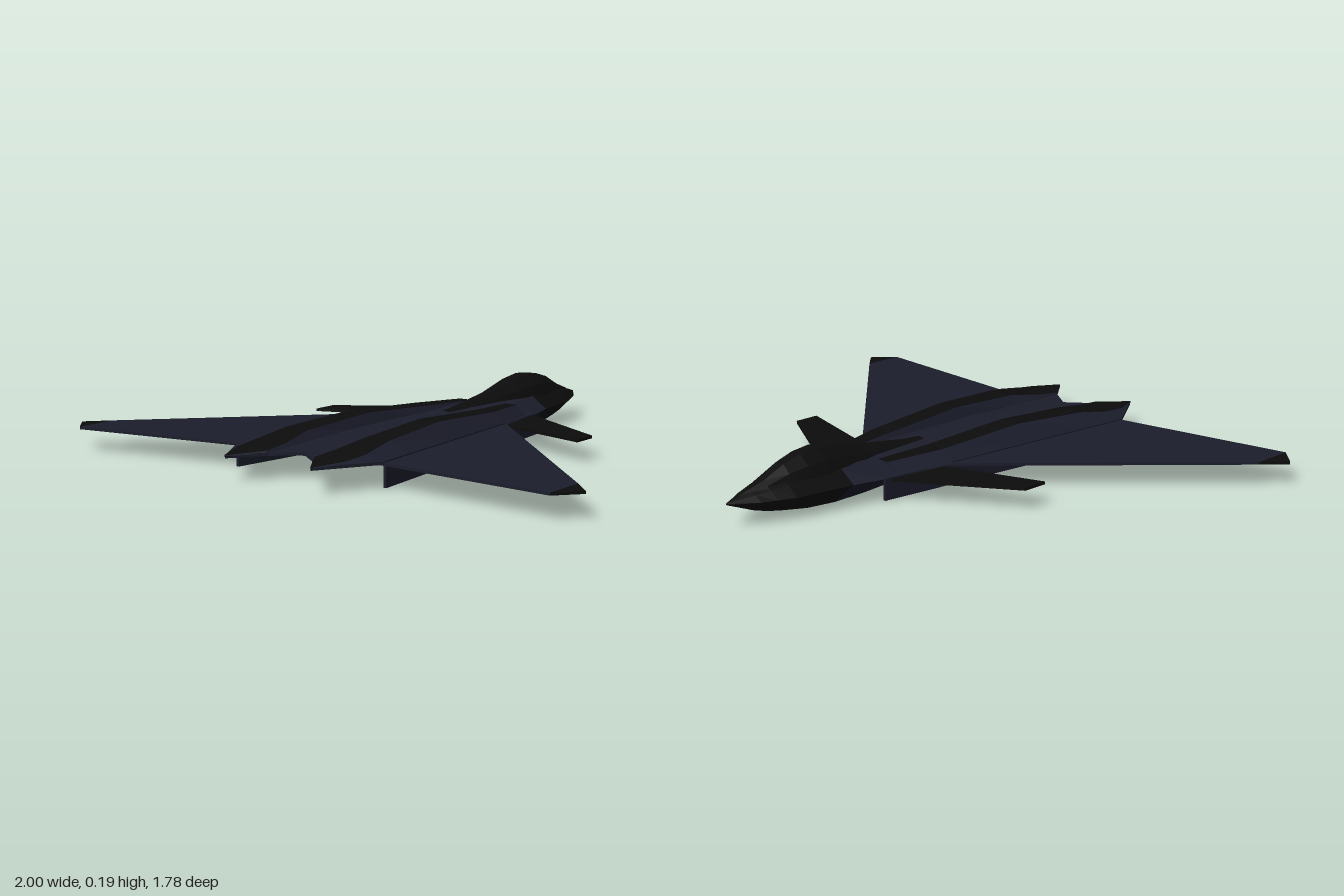
import * as THREE from 'three';

const navy = new THREE.MeshStandardMaterial({ color: 0x1b1d2b, flatShading: true });
const black = new THREE.MeshStandardMaterial({ color: 0x0c0c0c, flatShading: true });

// Skin between rings of [x, y], each anticlockwise seen from +z, with z increasing
function loft(stations) {
  const pos = [];
  const tri = (...p) => p.forEach((v) => pos.push(...v));
  const rings = stations.map(({ z, ring }) => ring.map(([x, y]) => [x, y, z]));
  const n = rings[0].length;
  for (let i = 0; i < rings.length - 1; i++) {
    for (let k = 0; k < n; k++) {
      const a = rings[i][k], b = rings[i][(k + 1) % n];
      const c = rings[i + 1][(k + 1) % n], d = rings[i + 1][k];
      tri(a, b, c);
      tri(a, c, d);
    }
  }
  const first = rings[0], last = rings[rings.length - 1];
  for (let k = 1; k < n - 1; k++) {
    tri(first[0], first[k + 1], first[k]);
    tri(last[0], last[k], last[k + 1]);
  }
  const g = new THREE.BufferGeometry();
  g.setAttribute('position', new THREE.Float32BufferAttribute(pos, 3));
  g.computeVertexNormals();
  return g;
}

// Right half ring completed by its mirror image
const mirrored = (half) => [...half, ...half.map(([x, y]) => [-x, y]).reverse()];

// Horizontal plate from an [x, z] outline
function plate(points, top, thickness) {
  const shape = new THREE.Shape(points.map(([x, z]) => new THREE.Vector2(x, z)));
  const g = new THREE.ExtrudeGeometry(shape, { depth: thickness, bevelEnabled: false });
  return g.rotateX(Math.PI / 2).translate(0, top, 0);
}

export function createModel() {
  const model = new THREE.Group();
  const add = (name, geometry, material) => {
    const mesh = new THREE.Mesh(geometry, material);
    mesh.name = name;
    model.add(mesh);
  };

  // Fuselage: z, belly half width, belly y, chine x, shoulder x, shoulder y, top y
  const hull = [
    [-0.89, 0.002, 0.078, 0.003, 0.002, 0.081, 0.082],
    [-0.8, 0.02, 0.043, 0.06, 0.035, 0.095, 0.105],
    [-0.75, 0.03, 0.03, 0.08, 0.05, 0.102, 0.118],
    [-0.69, 0.04, 0.021, 0.103, 0.065, 0.108, 0.13],
    [-0.6, 0.05, 0.009, 0.118, 0.075, 0.112, 0.14],
    [-0.48, 0.05, 0, 0.138, 0.085, 0.115, 0.14],
    [-0.35, 0.055, 0.004, 0.17, 0.09, 0.11, 0.125],
    [-0.1, 0.06, 0.02, 0.21, 0.1, 0.1, 0.113],
    [0.3, 0.06, 0.046, 0.25, 0.11, 0.098, 0.106],
    [0.7, 0.05, 0.072, 0.288, 0.11, 0.086, 0.088],
  ];
  const hullStations = hull.map(([z, bw, b, w, sx, sy, t]) => ({
    z, ring: mirrored([[bw, b], [w, 0.077], [sx, sy], [sx * 0.35, t]]),
  }));
  add('noseFuselage', loft(hullStations.slice(0, 6)), black);
  add('mainFuselage', loft(hullStations.slice(5)), navy);

  // Canopy and spine: z, half width, base y, top y
  const canopy = [
    [-0.84, 0.008, 0.085, 0.097],
    [-0.75, 0.045, 0.1, 0.126],
    [-0.67, 0.062, 0.106, 0.163],
    [-0.6, 0.076, 0.11, 0.182],
    [-0.53, 0.084, 0.11, 0.188],
    [-0.44, 0.08, 0.11, 0.177],
    [-0.3, 0.06, 0.106, 0.145],
    [-0.1, 0.04, 0.1, 0.119],
    [-0.04, 0.035, 0.1, 0.116],
    [0.3, 0.034, 0.09, 0.108],
  ].map(([z, w, b, t]) => ({
    z, ring: mirrored([[w, b], [w * 0.75, b + (t - b) * 0.55], [w * 0.28, t]]),
  }));
  add('canopy', loft(canopy.slice(0, 9)), black);
  add('spinePanel', loft(canopy.slice(8)), navy);

  // Tail deck with its twin points
  const deck = [[0.21, -0.1], [0.29, 0.69], [0.17, 0.89], [0.09, 0.78]];
  const deckMirror = deck.map(([x, z]) => [-x, z]).reverse();
  add('tailDeck', plate([...deck, [0, 0.71], ...deckMirror], 0.086, 0.01), navy);

  // Engine humps: z, inner foot, inner top, outer top, outer foot, top y
  const humps = [
    [-0.31, 0.06, 0.075, 0.12, 0.16, 0.112],
    [-0.1, 0.07, 0.095, 0.165, 0.21, 0.12],
    [0.25, 0.08, 0.108, 0.185, 0.245, 0.138],
    [0.55, 0.085, 0.118, 0.21, 0.275, 0.122],
    [0.69, 0.085, 0.1, 0.222, 0.288, 0.1],
    [0.78, 0.09, 0.095, 0.215, 0.235, 0.092],
    [0.89, 0.168, 0.169, 0.171, 0.172, 0.086],
  ];

  for (const s of [1, -1]) {
    const side = s > 0 ? 'left' : 'right';
    const flip = (pts) => pts.map(([x, z]) => [s * x, z]);
    const humpStations = (lift, inset) => humps.map(([z, a, b, c, d, t]) => {
      const ring = inset
        ? [[b, t - 0.006], [c, t - 0.006], [c, t + lift], [b, t + lift]]
        : [[a, 0.083], [d, 0.083], [c, t], [b, t]];
      return { z, ring: s > 0 ? ring : flip(ring).reverse() };
    });
    add(side + 'EngineHump', loft(humpStations(0, false)), navy);
    add(side + 'EngineStripe', loft(humpStations(0.001, true)), black);

    // Delta wing with dark tip
    add(side + 'Wing', plate(flip([[0.19, -0.13], [0.93, 0.615], [0.93, 0.768], [0.29, 0.69], [0.2, 0.69]]), 0.082, 0.009), navy);
    add(side + 'WingTip', plate(flip([[0.93, 0.615], [1, 0.69], [0.93, 0.768]]), 0.082, 0.009), black);

    // Canard
    add(side + 'Canard', plate(flip([[0.15, -0.36], [0.545, -0.115], [0.545, -0.02], [0.2, -0.13]]), 0.075, 0.009), black);

    // Splayed keel wall beneath the body
    add(side + 'KeelWall', plate(flip([[0.16, -0.37], [0.17, -0.37], [0.3, 0.69], [0.29, 0.69]]), 0.08, 0.075), navy);
  }
  return model;
}
